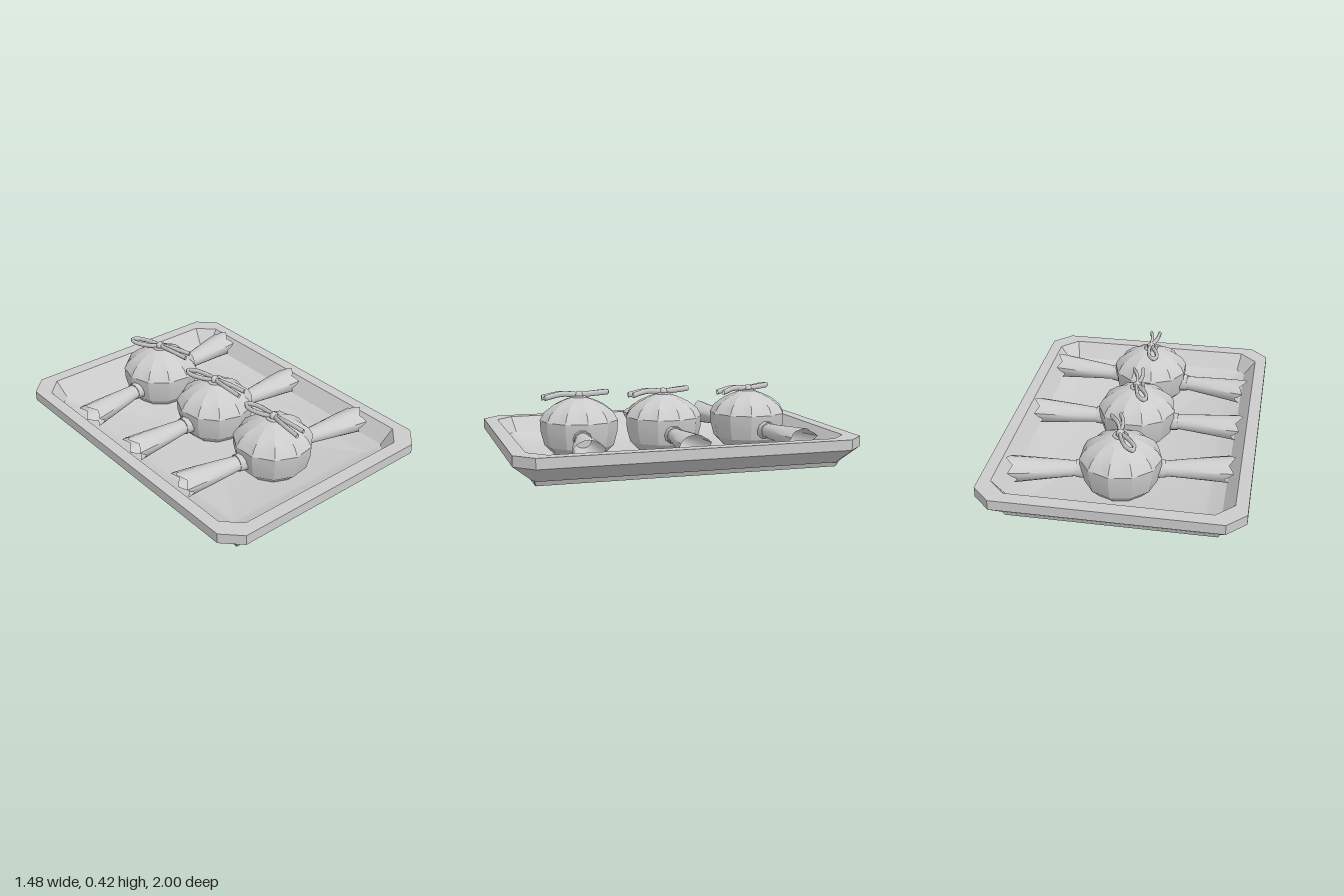
import * as THREE from 'three';
import { toCreasedNormals } from 'three/addons/utils/BufferGeometryUtils.js';

const material = new THREE.MeshStandardMaterial({ color: 0xcccccc });
const clothMaterial = new THREE.MeshStandardMaterial({ color: 0xcccccc, side: THREE.DoubleSide });

function addMesh(parent, name, geometry, mat = material) {
  const mesh = new THREE.Mesh(geometry, mat);
  mesh.name = name;
  parent.add(mesh);
  return mesh;
}

// Skin a surface over closed rings of [x, y, z] points
function loft(rings, crease) {
  const n = rings[0].length, index = [];
  for (let r = 0; r < rings.length - 1; r++) {
    for (let i = 0; i < n; i++) {
      const a = r * n + i, b = r * n + (i + 1) % n;
      index.push(a, a + n, b, b, a + n, b + n);
    }
  }
  const geo = new THREE.BufferGeometry();
  geo.setAttribute('position', new THREE.Float32BufferAttribute(rings.flat(2), 3));
  geo.setIndex(index);
  return toCreasedNormals(geo, crease);
}

// Rectangle with cut corners at height y
function cutRect(hx, hz, c, y) {
  return [[hx, -hz + c], [hx, hz - c], [hx - c, hz], [-hx + c, hz],
    [-hx, hz - c], [-hx, -hz + c], [-hx + c, -hz], [hx - c, -hz]].map(([x, z]) => [x, y, z]);
}

// Tray: foot, flared sides, lip, sloping inside and stepped floor
function makeTray() {
  const levels = [
    [0, 0, 0, 0], [0.59, 0.875, 0.004, 0], [0.605, 0.885, 0.004, 0.03], [0.62, 0.89, 0.03, 0.03],
    [0.74, 1, 0.105, 0.12], [0.74, 1, 0.105, 0.18], [0.67, 0.92, 0.1, 0.18],
    [0.6, 0.85, 0.05, 0.09], [0.53, 0.78, 0.004, 0.06], [0.49, 0.74, 0.004, 0.045], [0, 0, 0, 0.045],
  ];
  return loft(levels.map((l) => cutRect(...l)), 0.5);
}

// Pouch: faceted lathe whose upper part is gathered into pleats
function makePouch() {
  const profile = [[0, 0.045], [0.15, 0.045], [0.205, 0.1], [0.226, 0.18], [0.23, 0.25], [0.205, 0.295],
    [0.15, 0.338], [0.09, 0.366], [0.04, 0.383], [0, 0.386]].map((p) => new THREE.Vector2(...p));
  const segments = 22;
  const geo = new THREE.LatheGeometry(profile, segments);
  const pos = geo.attributes.position;
  for (let i = 0; i < pos.count; i++) {
    const column = Math.floor(i / profile.length) % segments;
    const level = i % profile.length;
    const facet = column % 2 ? 0.965 : 1.01;
    const pleat = level > 4 && column % 2 ? 0.95 : 1;
    pos.setX(i, pos.getX(i) * facet * pleat);
    pos.setZ(i, pos.getZ(i) * facet * pleat);
  }
  geo.deleteAttribute('normal');
  geo.deleteAttribute('uv');
  return toCreasedNormals(geo, 0.4);
}

// Flared cloth end pointing along +x, with a scalloped slanted mouth
function makeClothEnd() {
  const sections = [[0.2, 0.048, 0.045, 0], [0.26, 0.048, 0.043, 0], [0.36, 0.062, 0.05, 0.1],
    [0.49, 0.079, 0.059, 0.5], [0.6, 0.088, 0.068, 1]];
  const n = 20;
  return loft(sections.map(([x, rz, ry, wave]) => Array.from({ length: n }, (_, i) => {
    const a = (i / n) * Math.PI * 2;
    const fold = 1 + 0.07 * wave * Math.sin(a * 5);
    const slant = wave === 1 ? 0.022 * Math.sin(a) + 0.018 * Math.sin(a * 5) : 0;
    return [x + slant, 0.165 + ry * fold * Math.sin(a), rz * fold * Math.cos(a)];
  })), 0.6);
}

// Flat cord along points given as [x, y, z] around the knot
function makeCord(points, closed) {
  const curve = new THREE.CatmullRomCurve3(points.map((p) => new THREE.Vector3(...p)), closed);
  const geo = new THREE.TubeGeometry(curve, 20, 0.011, 6, closed);
  return geo.scale(1, 1.5, 1);
}

function makeBow() {
  const bow = new THREE.Group();
  bow.name = 'bow';
  bow.position.y = 0.395;
  const knot = addMesh(bow, 'knot', new THREE.SphereGeometry(0.026, 10, 6));
  knot.scale.y = 0.95;
  addMesh(bow, 'bowLoop', makeCord([[0, 0, 0], [-0.006, 0.004, -0.07], [-0.036, 0.006, -0.155],
    [-0.066, 0.005, -0.18], [-0.078, 0.003, -0.15], [-0.052, 0, -0.07]], true));
  const ends = [[[0, 0, 0], [-0.014, 0.005, 0.1], [0.002, -0.008, 0.22]],
    [[0, 0, 0], [0.018, 0.006, 0.1], [0.055, -0.006, 0.205]]];
  for (const points of ends) {
    addMesh(bow, 'cordEnd', makeCord(points, false), clothMaterial);
  }
  // Cord wrapped around the gathered neck
  const wrap = addMesh(bow, 'neckCord', new THREE.TorusGeometry(0.034, 0.01, 6, 14));
  wrap.rotation.x = Math.PI / 2;
  wrap.position.y = -0.012;
  return bow;
}

function makeBundle() {
  const bundle = new THREE.Group();
  bundle.name = 'bundle';
  addMesh(bundle, 'pouch', makePouch());
  for (const turn of [0, Math.PI]) {
    const side = new THREE.Group();
    side.name = 'sideTie';
    side.rotation.y = turn;
    addMesh(side, 'clothEnd', makeClothEnd(), clothMaterial);
    const collar = addMesh(side, 'collar', new THREE.CylinderGeometry(0.052, 0.058, 0.07, 10));
    collar.rotation.z = -Math.PI / 2;
    collar.position.set(0.215, 0.165, 0);
    bundle.add(side);
  }
  bundle.add(makeBow());
  return bundle;
}

export function createModel() {
  const model = new THREE.Group();
  model.name = 'trayOfBundles';
  addMesh(model, 'tray', makeTray());
  // Three bundles side by side, each turned a little differently
  for (const [z, turn] of [[-0.56, 0.165], [-0.01, 0], [0.51, -0.125]]) {
    const bundle = makeBundle();
    bundle.position.set(-0.007, 0, z);
    bundle.rotation.y = turn;
    model.add(bundle);
  }
  return model;
}
